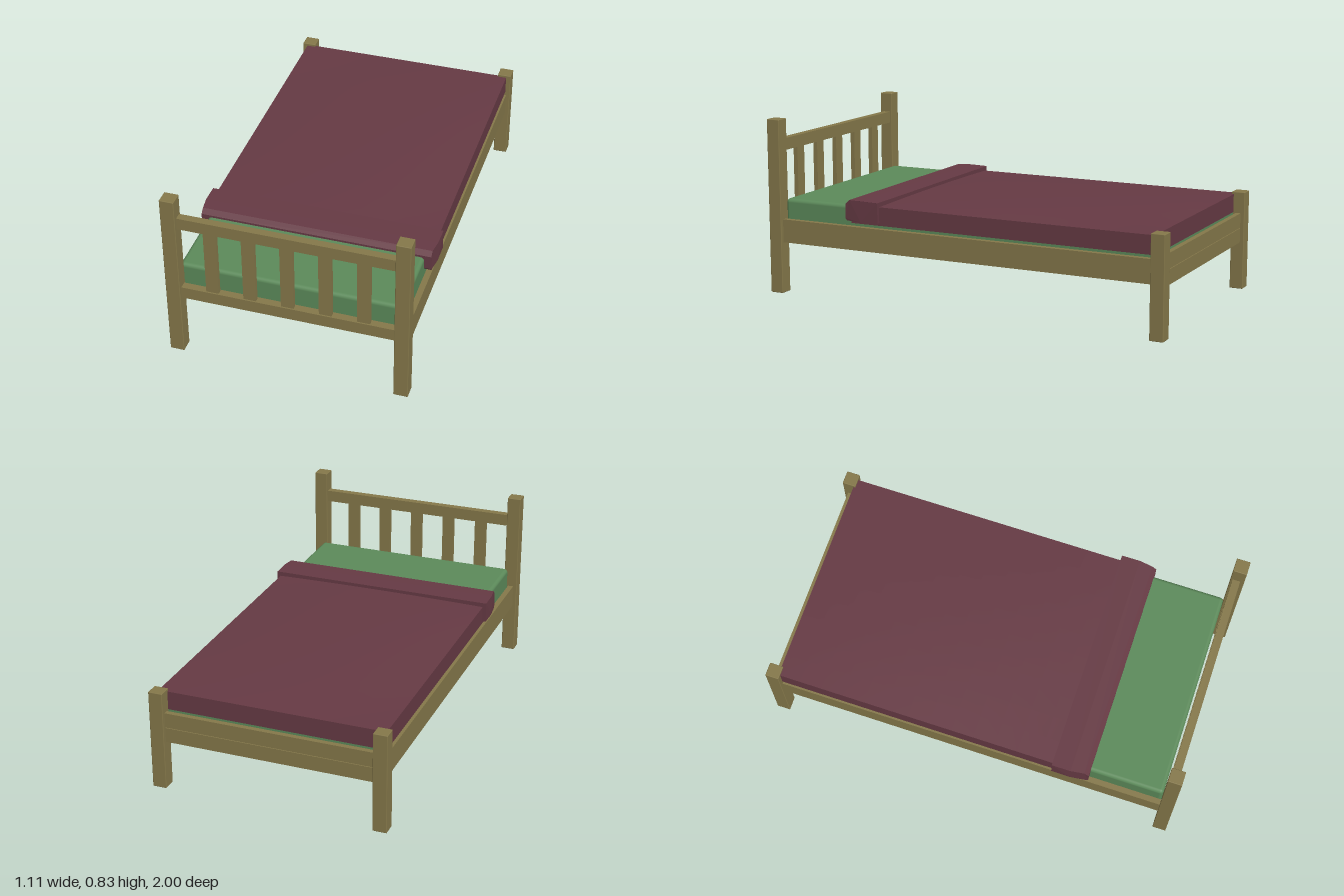
import * as THREE from 'three';
import { RoundedBoxGeometry } from 'three/addons/geometries/RoundedBoxGeometry.js';

const mat = (name, color) => {
  const m = new THREE.MeshStandardMaterial({ color });
  m.name = name;
  return m;
};

export function createModel() {
  const bed = new THREE.Group();
  bed.name = 'bed';
  const wood = mat('wood', 0x85784a);
  const green = mat('mattressGreen', 0x5c8a5a);
  const maroon = mat('blanketMaroon', 0x663a44);

  const add = (name, geometry, material) => {
    const mesh = new THREE.Mesh(geometry, material);
    mesh.name = name;
    bed.add(mesh);
    return mesh;
  };

  // Box given by its limits on each axis; radius > 0 rounds the edges
  const block = (name, material, [x0, x1], [y0, y1], [z0, z1], radius = 0) => {
    const size = [x1 - x0, y1 - y0, z1 - z0];
    const geometry = radius
      ? new RoundedBoxGeometry(...size, 3, radius)
      : new THREE.BoxGeometry(...size);
    add(name, geometry, material)
      .position.set((x0 + x1) / 2, (y0 + y1) / 2, (z0 + z1) / 2);
  };

  // Corner posts and side rails
  for (const s of [-1, 1]) {
    const side = s > 0 ? 'left' : 'right';
    const span = (a, b) => (s > 0 ? [a, b] : [-b, -a]);
    block(side + 'HeadPost', wood, span(0.49, 0.556), [0, 0.833], [0.935, 1], 0.003);
    block(side + 'FootPost', wood, span(0.49, 0.556), [0, 0.472], [-1, -0.935], 0.003);
    block(side + 'SideRail', wood, span(0.511, 0.538), [0.245, 0.356], [-0.937, 0.937]);
  }

  // Headboard: two rails and five slats
  block('headTopRail', wood, [-0.5, 0.5], [0.68, 0.737], [0.945, 0.981]);
  block('headLowerRail', wood, [-0.5, 0.5], [0.297, 0.355], [0.945, 0.981]);
  for (let i = -2; i <= 2; i++) {
    const x = i * 0.173;
    block('headSlat', wood, [x - 0.029, x + 0.029], [0.354, 0.681], [0.952, 0.974]);
  }

  // Footboard: two stacked boards
  block('footLowerBoard', wood, [-0.5, 0.5], [0.228, 0.297], [-0.981, -0.957]);
  block('footUpperBoard', wood, [-0.5, 0.5], [0.3, 0.37], [-0.981, -0.957]);

  // Mattress
  block('mattress', green, [-0.509, 0.509], [0.27, 0.452], [-0.943, 0.935], 0.018);

  // Blanket, swelling gently towards the middle
  const length = 1.505, width = 1.066, height = 0.087;
  const cover = new THREE.BoxGeometry(width, height, length, 10, 1, 14);
  const p = cover.attributes.position;
  for (let i = 0; i < p.count; i++) {
    if (p.getY(i) < 0) continue;
    const u = p.getX(i) / (width / 2), v = p.getZ(i) / (length / 2);
    p.setY(i, p.getY(i) + 0.016 * (1 - u * u) * (1 - v * v));
  }
  cover.computeVertexNormals();
  add('blanket', cover, maroon).position.set(0, 0.4165, -0.1925);

  // Turned-back fold: profile across the bed, ends narrowing towards the head
  const profile = [
    [0.41, 0.385], [0.5, 0.383], [0.578, 0.385], [0.586, 0.395],
    [0.586, 0.462], [0.565, 0.482], [0.5, 0.483], [0.41, 0.481],
  ].map(([z, y]) => new THREE.Vector2(-z, y));
  const fold = new THREE.ExtrudeGeometry(new THREE.Shape(profile), {
    depth: 1.1, bevelEnabled: false,
  });
  fold.rotateY(Math.PI / 2).translate(-0.55, 0, 0);
  const f = fold.attributes.position;
  for (let i = 0; i < f.count; i++) {
    if (f.getZ(i) > 0.51) f.setX(i, Math.sign(f.getX(i)) * 0.541);
  }
  fold.computeVertexNormals();
  add('blanketFold', fold, maroon);

  return bed;
}
